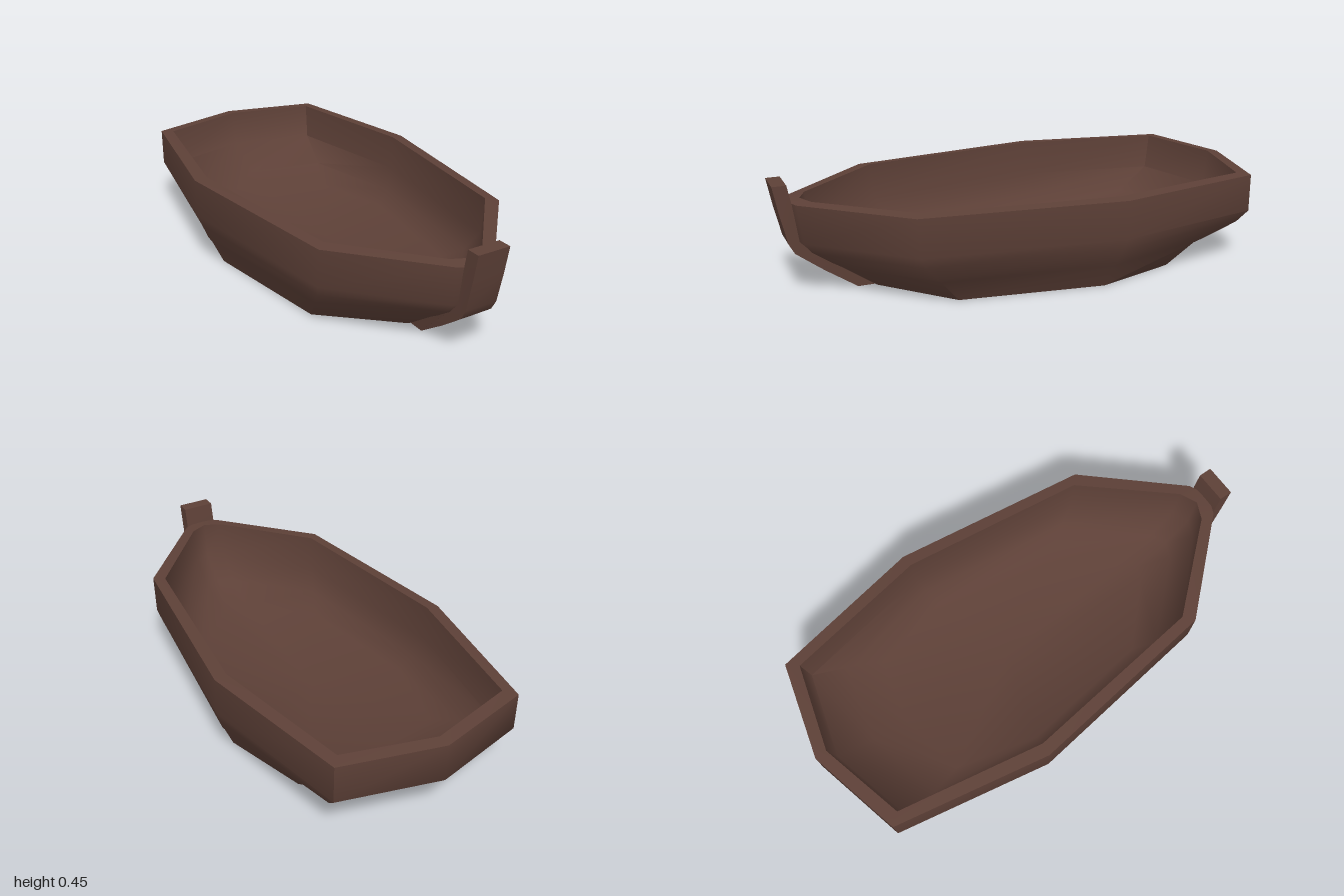
import * as THREE from 'three';
import { toCreasedNormals } from 'three/addons/utils/BufferGeometryUtils.js';

// Rim outline (x, z) from bow centre round the left side to stern centre.
const OUTLINE = [[0, 0.95], [0.08, 0.915], [0.41, 0.55], [0.515, -0.26], [0.395, -0.9], [0, -1]];

// Each level: height, then scale of the outline's width, front length and back length.
const LEVELS = [
  // outside, keel to rim
  [0, 0.83, 0.675, 0.615],
  [0.095, 0.91, 0.82, 0.735],
  [0.115, 0.935, 0.855, 0.79],
  [0.17, 0.97, 0.94, 0.945],
  [0.215, 1, 0.98, 1],
  [0.37, 1, 1, 1],
  // inside, rim to floor
  [0.375, 0.9, 0.935, 0.95],
  [0.225, 0.89, 0.915, 0.93],
  [0.13, 0.83, 0.8, 0.77],
  [0.07, 0.72, 0.64, 0.62],
];

// Skins the mirrored outline through all levels and closes keel and floor with fans.
function hullGeometry() {
  const mirrored = OUTLINE.slice(1, -1).reverse().map(([x, z]) => [-x, z]);
  const loop = [...OUTLINE, ...mirrored];
  const n = loop.length;
  const positions = [];
  const indices = [];
  for (const [y, width, front, back] of LEVELS) {
    for (const [x, z] of loop) {
      // the widest station moves only half as far as the stern
      const length = z > 0 ? front : z > -0.5 ? (1 + back) / 2 : back;
      positions.push(x * width, y, z * length);
    }
  }
  const last = LEVELS.length - 1;
  const keel = LEVELS.length * n;
  const floor = keel + 1;
  positions.push(0, 0, -0.1, 0, 0.06, -0.1);
  for (let i = 0; i < n; i++) {
    const j = (i + 1) % n;
    for (let r = 0; r < last; r++) {
      const a = r * n + i, b = r * n + j, c = b + n, d = a + n;
      indices.push(a, b, c, a, c, d);
    }
    indices.push(keel, j, i, floor, last * n + i, last * n + j);
  }
  const geometry = new THREE.BufferGeometry();
  geometry.setAttribute('position', new THREE.Float32BufferAttribute(positions, 3));
  geometry.setIndex(indices);
  return toCreasedNormals(geometry, 1.05);
}

// Curved stem post: side profile (z, y) extruded across, narrower at the foot.
function stemGeometry() {
  const profile = [
    [0.6, 0], [0.69, 0], [0.82, 0.09], [0.93, 0.175], [0.952, 0.215], [0.98, 0.34], [1, 0.448],
    [0.945, 0.448], [0.93, 0.37], [0.91, 0.22], [0.86, 0.17], [0.74, 0.09],
  ];
  const shape = new THREE.Shape(profile.map(([z, y]) => new THREE.Vector2(z, y)));
  const geometry = new THREE.ExtrudeGeometry(shape, { depth: 0.136, bevelEnabled: false });
  geometry.translate(0, 0, -0.068);
  geometry.rotateY(-Math.PI / 2);
  const p = geometry.attributes.position;
  for (let i = 0; i < p.count; i++) {
    const t = Math.min(1, p.getY(i) / 0.2);
    p.setX(i, p.getX(i) * (0.78 + 0.22 * t));
  }
  return toCreasedNormals(geometry, 1.05);
}

export function createModel() {
  const wood = new THREE.MeshStandardMaterial({ color: 0x5d4037 });
  wood.name = 'darkWood';

  const boat = new THREE.Group();
  boat.name = 'boat';
  const hull = new THREE.Mesh(hullGeometry(), wood);
  hull.name = 'hull';
  const stem = new THREE.Mesh(stemGeometry(), wood);
  stem.name = 'stemPost';
  boat.add(hull, stem);
  return boat;
}
